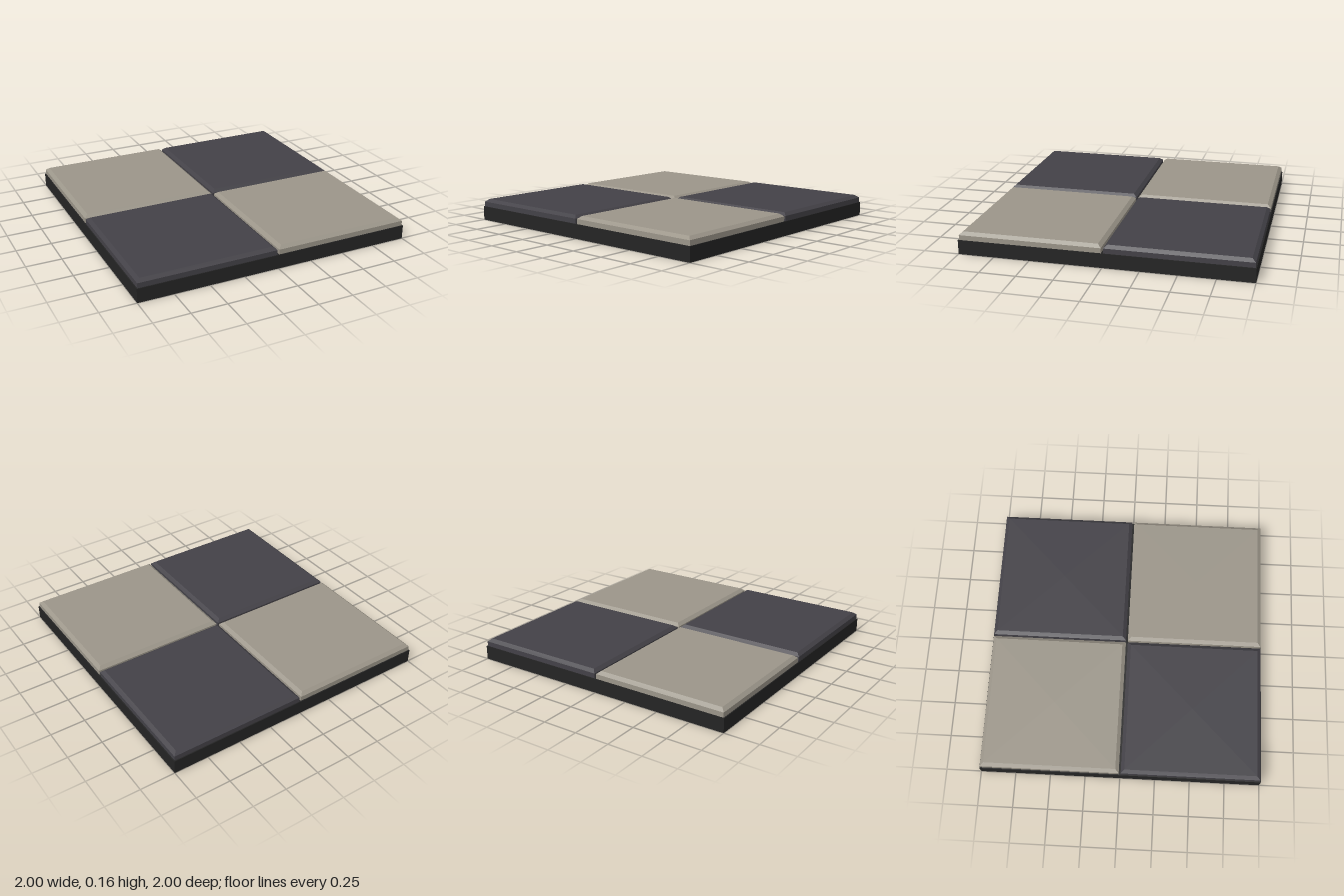
import * as THREE from 'three';

const material = (name, color) => {
  const m = new THREE.MeshStandardMaterial({ color });
  m.name = name;
  return m;
};

// Square slab with a chamfered upper rim: a four-sided lathe turned by 45 degrees
function chamferedTile(half, height, inset, drop) {
  const profile = [
    [0, 0], [half, 0], [half, height - drop], [half - inset, height], [0, height],
  ].map(([r, y]) => new THREE.Vector2(r * Math.SQRT2, y));
  const geometry = new THREE.LatheGeometry(profile, 4, Math.PI / 4).toNonIndexed();
  geometry.computeVertexNormals();
  return geometry;
}

export function createModel() {
  const group = new THREE.Group();
  group.name = 'checkeredFloorTile';
  const baseColor = material('nearBlack', 0x242424);
  const lightColor = material('warmGrey', 0x9b9589);
  const darkColor = material('charcoal', 0x434147);

  // Base slab
  const baseHeight = 0.1;
  const base = new THREE.Mesh(new THREE.BoxGeometry(2, baseHeight, 2), baseColor);
  base.name = 'base';
  base.position.y = baseHeight / 2;
  group.add(base);

  // Four tiles in a checkerboard, with narrow grooves between them
  const tileGeometry = chamferedTile(0.493, 0.055, 0.025, 0.02);
  for (const x of [-1, 1]) {
    for (const z of [-1, 1]) {
      const light = x === z;
      const tile = new THREE.Mesh(tileGeometry, light ? lightColor : darkColor);
      tile.name = `${light ? 'light' : 'dark'}Tile${z > 0 ? 'Front' : 'Back'}`;
      tile.position.set(x * 0.5, baseHeight, z * 0.5);
      group.add(tile);
    }
  }
  return group;
}
